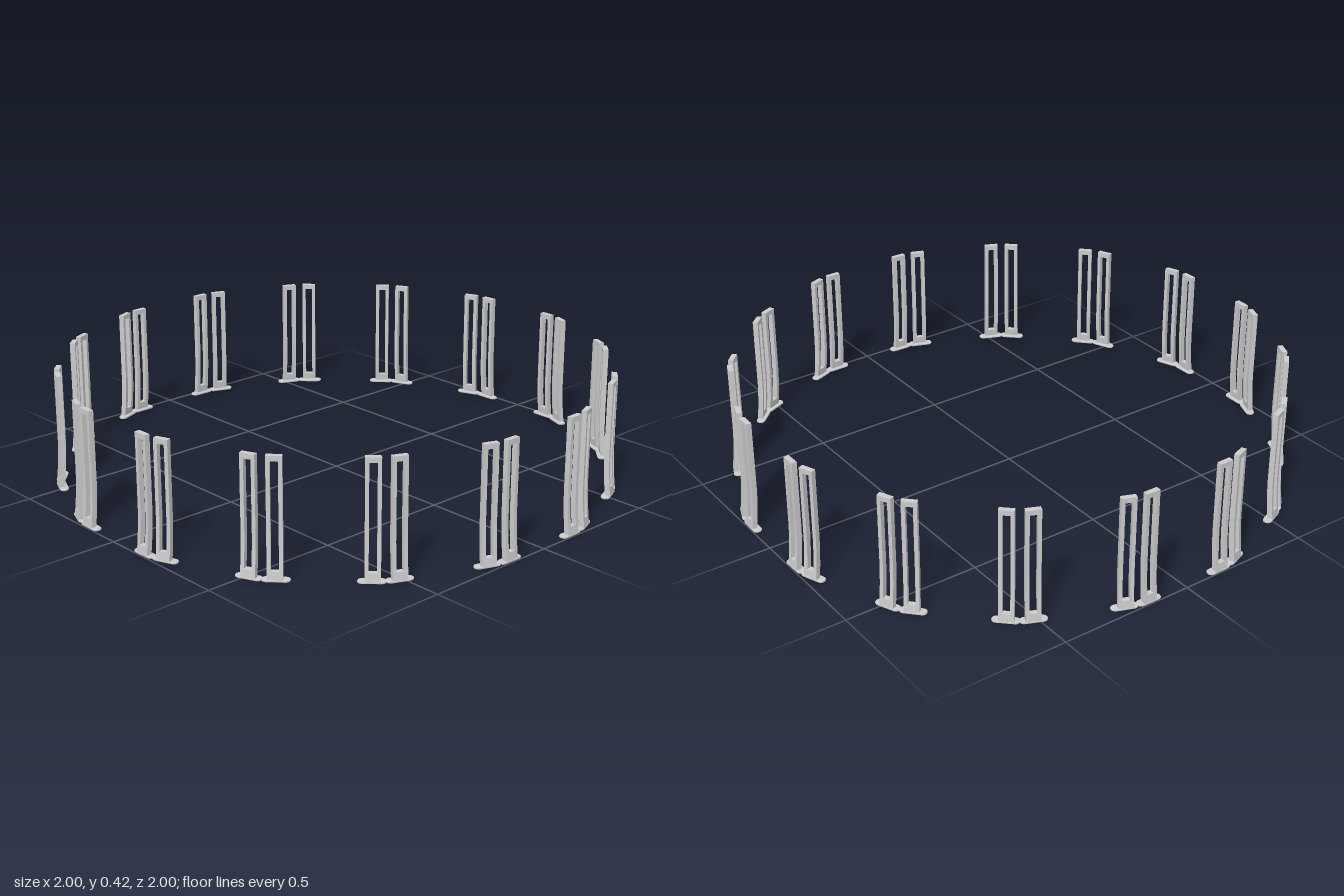
import * as THREE from 'three';
import { mergeGeometries } from 'three/addons/utils/BufferGeometryUtils.js';

const PAIRS = 16, TOP = 0.42, FOOT_H = 0.008;
const material = new THREE.MeshStandardMaterial({ color: 0xcccccc });

// Sweeps the lower part of an upright outward in a smooth curve
function flare(geometry, start = 0.18, reach = 0.012) {
  const p = geometry.attributes.position;
  for (let i = 0; i < p.count; i++) {
    const k = Math.max(0, (start - p.getY(i)) / start);
    p.setZ(i, p.getZ(i) + reach * k * k);
  }
  geometry.computeVertexNormals();
  return geometry;
}

// Tall slotted frame: two legs joined by a bar at the top and bottom
function frameGeometry() {
  const width = 0.052, leg = 0.013, depth = 0.019;
  const bar = (w, y0, y1, x, segments) =>
    new THREE.BoxGeometry(w, y1 - y0, depth, 1, segments, 1).translate(x, (y0 + y1) / 2, 0);
  const legX = (width - leg) / 2;
  return flare(mergeGeometries([
    bar(leg, 0.004, TOP, -legX, 28),
    bar(leg, 0.004, TOP, legX, 28),
    bar(width - 2 * leg, 0.402, TOP, 0, 1),
    bar(width - 2 * leg, 0.004, 0.035, 0, 3),
  ]));
}

// Flat foot plate with round ends and a slightly softened rim
function footGeometry() {
  const bevel = 0.002, r = 0.016 - bevel, half = 0.047 - 0.016;
  const shape = new THREE.Shape();
  shape.absarc(half, 0, r, -Math.PI / 2, Math.PI / 2);
  shape.absarc(-half, 0, r, Math.PI / 2, Math.PI * 1.5);
  return new THREE.ExtrudeGeometry(shape, {
    depth: FOOT_H - 2 * bevel, bevelEnabled: true, bevelSize: bevel,
    bevelThickness: bevel, bevelSegments: 1, curveSegments: 10,
  }).rotateX(-Math.PI / 2).translate(0, bevel, 0);
}

export function createModel() {
  const model = new THREE.Group();
  model.name = 'ringOfFrames';
  const frameGeo = frameGeometry(), footGeo = footGeometry();

  // Evenly spaced pairs, each bent in the middle to follow the ring
  for (let i = 0; i < PAIRS; i++) {
    const pair = new THREE.Group();
    pair.name = 'framePair';
    pair.rotation.y = ((i + 0.5) / PAIRS) * Math.PI * 2;
    for (const side of [-1, 1]) {
      const tilt = side * THREE.MathUtils.degToRad(10);
      const frame = new THREE.Mesh(frameGeo, material);
      frame.name = 'slottedFrame';
      frame.position.set(side * 0.041, 0, 0.988);
      frame.rotation.y = tilt;
      const foot = new THREE.Mesh(footGeo, material);
      foot.name = 'footPlate';
      foot.position.set(side * 0.044, 0, 0.993);
      foot.rotation.y = tilt;
      pair.add(frame, foot);
    }
    model.add(pair);
  }
  return model;
}
